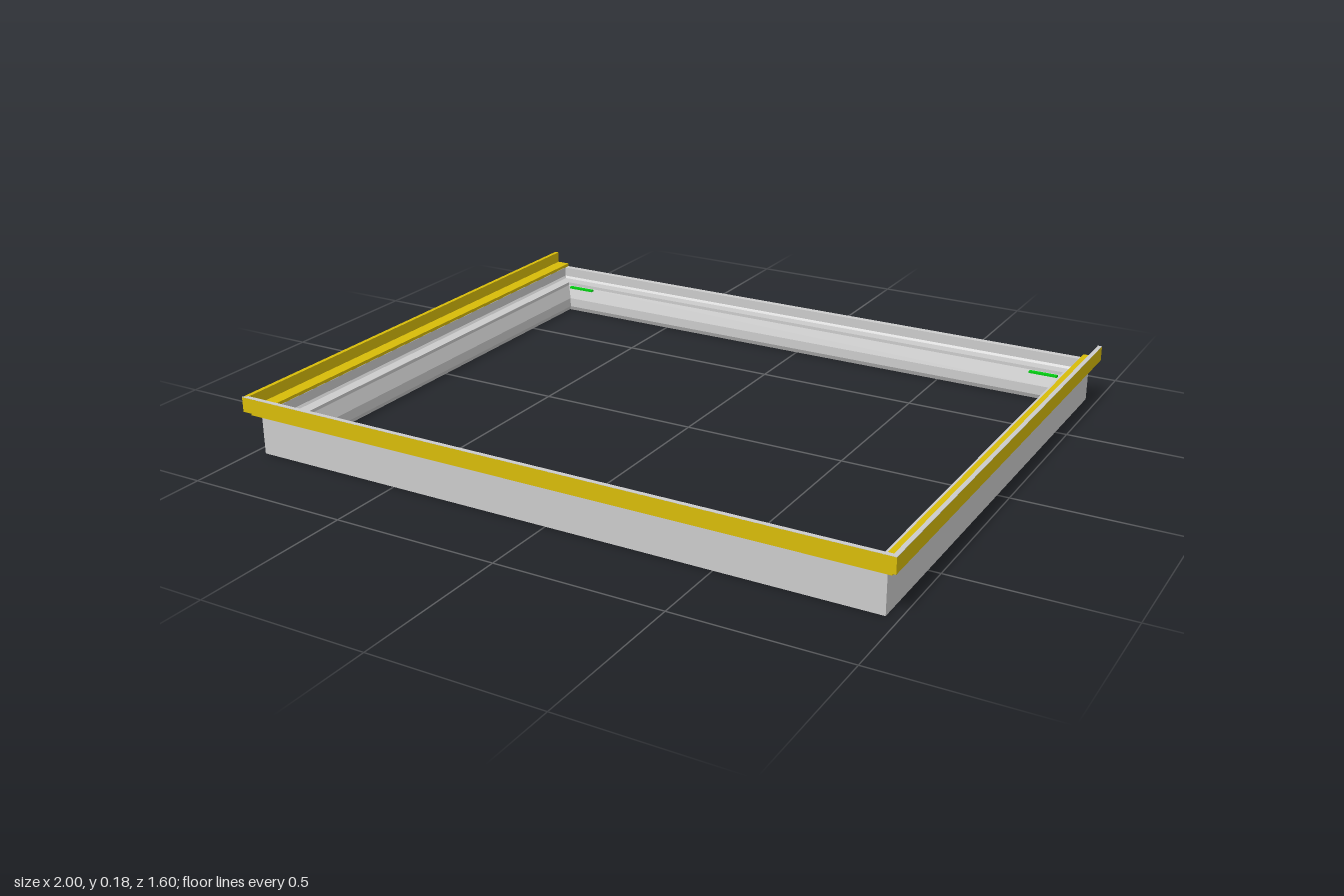
import * as THREE from 'three';

// Sweep a counter-clockwise profile of [outward, height] points along mitred corners.
// Each corner is [x, z, sx, sz]: its position and the direction of outward offset.
function sweep(profile, corners, closed) {
  const rings = corners.map(([x, z, sx, sz]) =>
    profile.map(([d, y]) => [x + d * sx, y, z + d * sz]));
  const pos = [];
  const n = profile.length;
  const spans = closed ? rings.length : rings.length - 1;
  for (let i = 0; i < spans; i++) {
    const r = rings[i], s = rings[(i + 1) % rings.length];
    for (let j = 0; j < n; j++) {
      const k = (j + 1) % n;
      pos.push(...r[j], ...s[j], ...r[k], ...r[k], ...s[j], ...s[k]);
    }
  }
  if (!closed) {
    const outline = profile.map(([d, y]) => new THREE.Vector2(d, y));
    const last = rings[rings.length - 1];
    for (const [a, b, c] of THREE.ShapeUtils.triangulateShape(outline, [])) {
      pos.push(...rings[0][a], ...rings[0][b], ...rings[0][c]);
      pos.push(...last[a], ...last[c], ...last[b]);
    }
  }
  const geometry = new THREE.BufferGeometry();
  geometry.setAttribute('position', new THREE.Float32BufferAttribute(pos, 3));
  geometry.computeVertexNormals();
  return geometry;
}

export function createModel() {
  const group = new THREE.Group();
  const material = (color) =>
    new THREE.MeshStandardMaterial({ color, side: THREE.DoubleSide });
  const grey = material(0xcccccc);
  const yellow = material(0xd8bc08);
  const green = material(0x00d010);

  const add = (name, geometry, mat, x = 0, y = 0, z = 0) => {
    const mesh = new THREE.Mesh(geometry, mat);
    mesh.name = name;
    mesh.position.set(x, y, z);
    group.add(mesh);
    return mesh;
  };

  // Four-sided frame with a stepped, bevelled inner edge
  const X = 0.89, BACK = -0.725, FRONT = 0.69;
  add('frame', sweep([
    [0.008, 0], [0.075, 0], [0.075, 0.135], [0.055, 0.135], [0.055, 0.105],
    [0.05, 0.098], [0.014, 0.098], [0.014, 0.088], [0, 0.045], [0, 0.015],
  ], [
    [-X, BACK, -1, -1], [-X, FRONT, -1, 1], [X, FRONT, 1, 1], [X, BACK, 1, -1],
  ], true), grey);

  // Upstanding trim on the two sides and the front, open at the back
  const TX = 0.945, TZ = 0.745, END = -0.8;
  add('trim', sweep([
    [0.02, 0.122], [0.04, 0.122], [0.04, 0.135], [0.055, 0.135], [0.055, 0.18],
    [0.042, 0.18], [0.042, 0.145], [0, 0.145], [0, 0.1355], [0.02, 0.1355],
  ], [
    [-TX, END, -1, 0], [-TX, TZ, -1, 1], [TX, TZ, 1, 1], [TX, END, 1, 0],
  ], false), yellow);

  // Thin pale cap along the front and left rim of the trim
  add('rimCap', sweep([
    [0.042, 0.1795], [0.055, 0.1795], [0.055, 0.181], [0.042, 0.181],
  ], [
    [-TX, TZ, -1, 1], [TX, TZ, 1, 1], [TX, END, 1, 0],
  ], false), grey);

  // Slim seals on the inner edge
  for (const s of [-1, 1]) {
    add('backSeal', new THREE.BoxGeometry(0.09, 0.006, 0.012), green, s * 0.845, 0.085, -0.729);
  }
  add('sideSeal', new THREE.BoxGeometry(0.005, 0.006, 1.4), green, 0.8965, 0.075, -0.015);

  return group;
}
